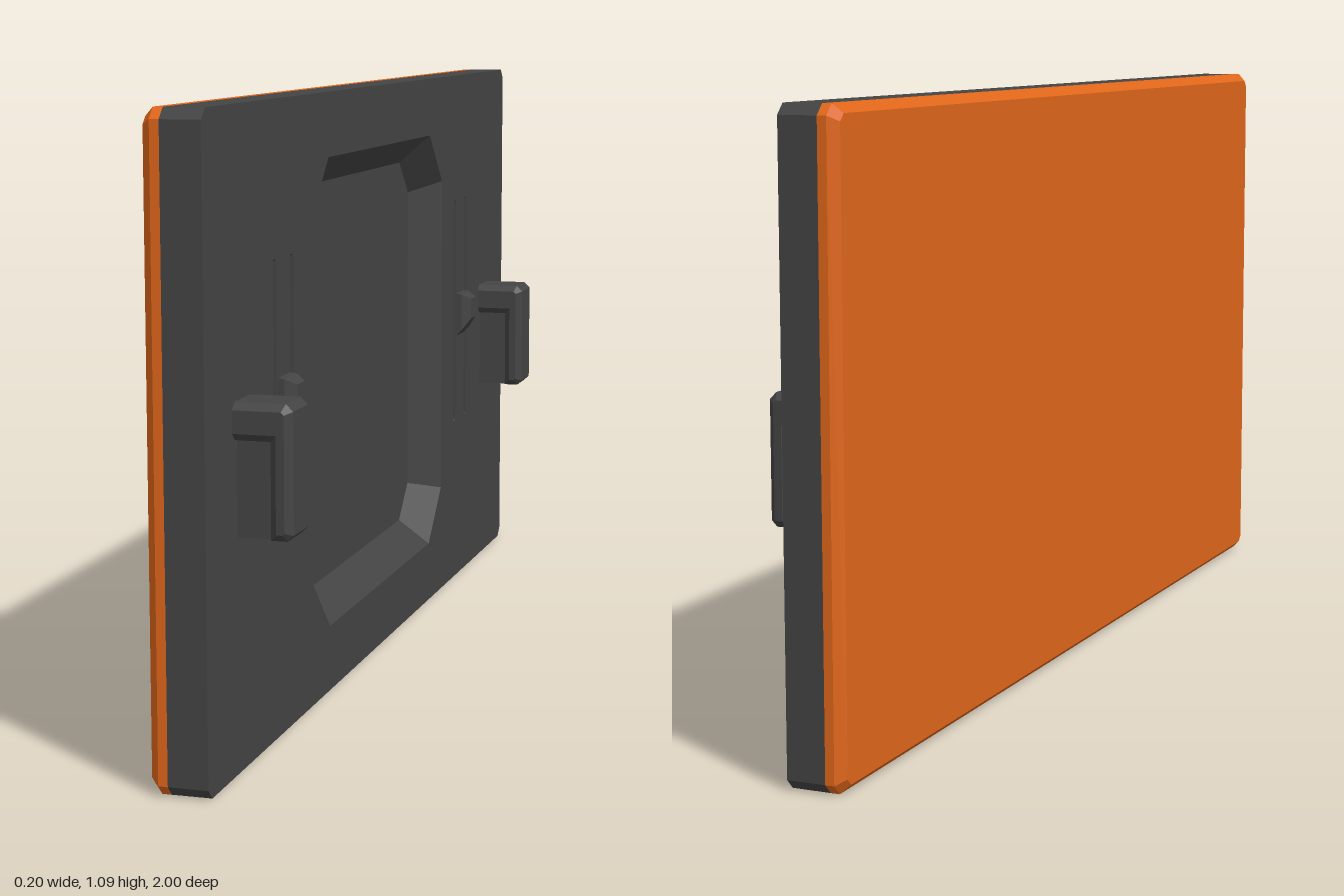
import * as THREE from 'three';

const dark = new THREE.MeshStandardMaterial({ color: 0x444444, flatShading: true });
const orange = new THREE.MeshStandardMaterial({ color: 0xe0661a, flatShading: true });

// Rectangle with cut corners, counter-clockwise seen from +x (u = -z, v = y)
function ring(uc, hw, y0, y1, c = 0) {
  const a = uc - hw, b = uc + hw;
  if (!c) return [[a, y0], [b, y0], [b, y1], [a, y1]];
  return [[a + c, y0], [b - c, y0], [b, y0 + c], [b, y1 - c],
    [b - c, y1], [a + c, y1], [a, y1 - c], [a, y0 + c]];
}

// Walls joining consecutive rings; each section is [x, ring]
function loft(...sections) {
  const pos = [];
  for (let s = 0; s + 1 < sections.length; s++) {
    const [xa, A] = sections[s], [xb, B] = sections[s + 1];
    A.forEach((p, i) => {
      const j = (i + 1) % A.length;
      const q = [[xa, p], [xa, A[j]], [xb, B[j]], [xb, B[i]]];
      for (const k of [0, 1, 2, 0, 2, 3]) pos.push(q[k][0], q[k][1][1], -q[k][1][0]);
    });
  }
  const g = new THREE.BufferGeometry();
  g.setAttribute('position', new THREE.Float32BufferAttribute(pos, 3));
  g.computeVertexNormals();
  return g;
}

// Flat face facing +x (dir 1) or -x (dir -1)
function cap(x, outline, dir = 1, holes = []) {
  const toPts = r => r.map(p => new THREE.Vector2(p[0], p[1]));
  const shape = new THREE.Shape(toPts(outline));
  for (const h of holes) shape.holes.push(new THREE.Path(toPts(h)));
  return new THREE.ShapeGeometry(shape).rotateY(dir * Math.PI / 2).translate(x, 0, 0);
}

export function createModel() {
  const model = new THREE.Group();
  const H = 1.085, seam = -0.068;

  function part(name, material, ...geometries) {
    const group = new THREE.Group();
    group.name = name;
    for (const g of geometries) group.add(new THREE.Mesh(g, material));
    model.add(group);
    return group;
  }

  const outline = ring(0, 1, 0, H, 0.018);

  // Coloured cover plate with a bevelled rear edge
  const inner = ring(0, 0.985, 0.015, H - 0.015, 0.012);
  part('coverPlate', orange,
    cap(-0.1, inner, -1),
    loft([-0.1, inner], [-0.084, outline], [seam, outline]),
    cap(seam, outline));

  // Dark backing panel with a sunken tray and slots cut through to the cover
  const trayRim = ring(0, 0.45, 0.12, 0.97, 0.1);
  const trayFloor = ring(0, 0.4, 0.17, 0.915, 0.066);
  const slotCentres = [-0.655, -0.563, 0.563, 0.655];
  const slotRims = slotCentres.map(u => ring(u, 0.009, 0.345, 0.82));
  part('backingPanel', dark,
    loft([seam, outline], [0, outline]),
    cap(0, outline, 1, [trayRim, ...slotRims]));
  part('tray', dark, loft([0, trayRim], [-0.06, trayFloor]), cap(-0.06, trayFloor));
  slotCentres.forEach((u, i) =>
    part('slot', dark, loft([0, slotRims[i]], [seam, ring(u, 0.007, 0.4, 0.765)])));

  // Hook: bevelled arm and leg, with a thin web filling the middle
  const bevel = 0.012;
  const profile = [[-0.03, 0.553], [0.06, 0.553], [0.06, 0.393], [0.088, 0.393], [0.098, 0.403],
    [0.098, 0.603], [0.086, 0.615], [-0.03, 0.615]];
  const hookGeometry = new THREE.ExtrudeGeometry(
    new THREE.Shape(profile.map(p => new THREE.Vector2(...p))),
    { depth: 0.1 - 2 * bevel, bevelEnabled: true, bevelThickness: bevel, bevelSize: bevel,
      bevelOffset: -bevel, bevelSegments: 1 }).translate(0, 0, bevel - 0.05);
  const webGeometry = new THREE.BoxGeometry(0.09, 0.17, 0.056).translate(0.025, 0.478, 0);

  // Small latch: tapered nub between each pair of slots
  const tip = ring(0, 0.02, 0.565, 0.608);
  const latchGeometry = loft([-0.002, ring(0, 0.034, 0.525, 0.62)],
    [0.012, ring(0, 0.034, 0.54, 0.618)], [0.03, tip]);

  for (const side of [1, -1]) {
    const prefix = side > 0 ? 'front' : 'rear';
    part(prefix + 'Hook', dark, hookGeometry, webGeometry).position.z = 0.823 * side;
    part(prefix + 'Latch', dark, latchGeometry, cap(0.03, tip)).position.z = 0.608 * side;
  }
  return model;
}
